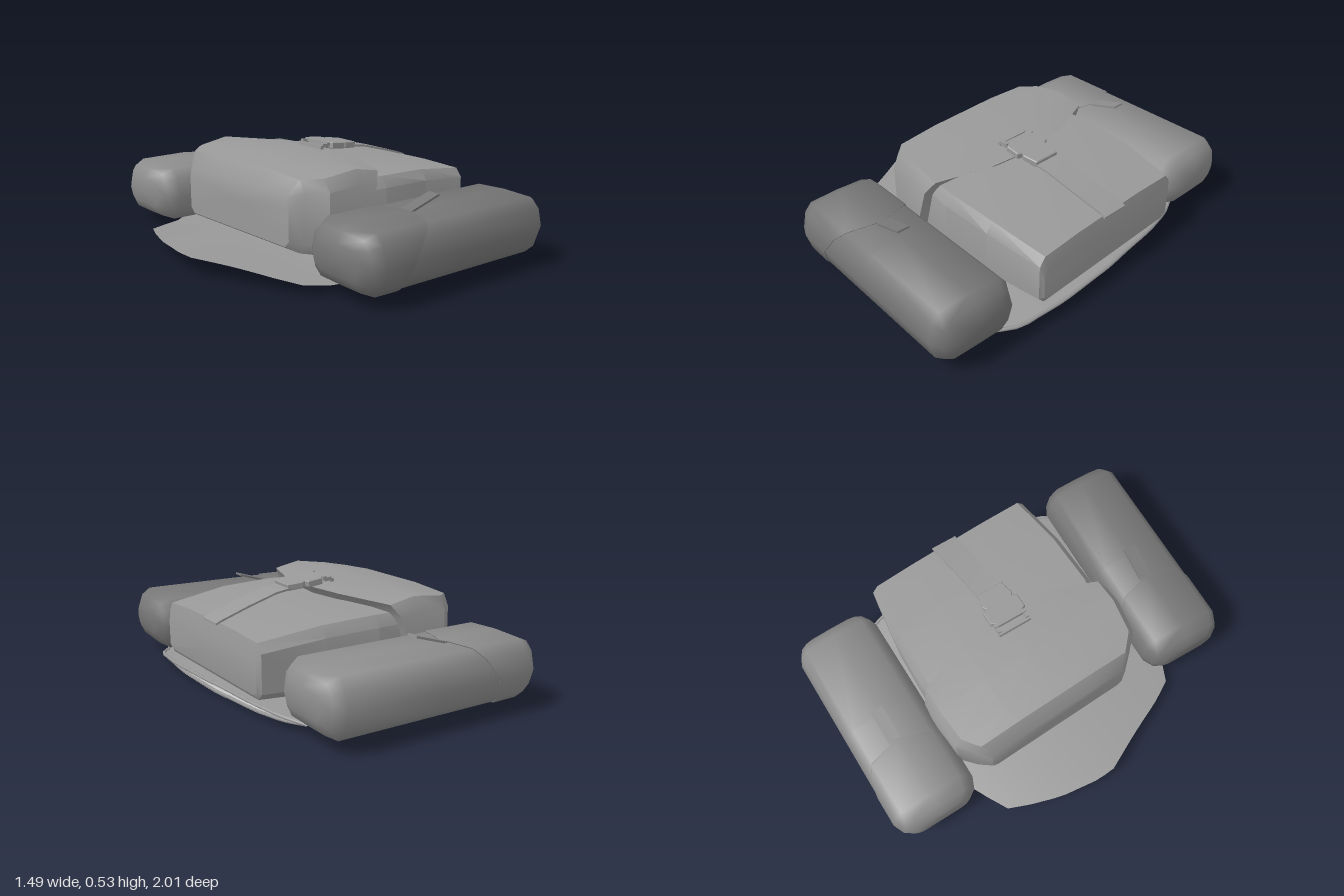
import * as THREE from 'three';
import { toCreasedNormals } from 'three/addons/utils/BufferGeometryUtils.js';

const paint = color => new THREE.MeshStandardMaterial({ color, side: THREE.DoubleSide });
const canvas = paint(0x999999);
const darkCanvas = paint(0x777777);
const rollCanvas = paint(0x8c8c8c);
const lining = paint(0xcccccc);

function mesh(name, geometry, material = canvas) {
  const m = new THREE.Mesh(geometry, material);
  m.name = name;
  return m;
}

// Closed skin through rings of [x, y, z] points, ordered along +x, capped at both ends.
function loft(rings, crease = 0.7) {
  const n = rings[0].length, pos = [];
  const tri = (...pts) => pts.forEach(p => pos.push(...p));
  for (let i = 0; i < rings.length - 1; i++) {
    for (let j = 0; j < n; j++) {
      const k = (j + 1) % n;
      const a = rings[i][j], b = rings[i][k], c = rings[i + 1][k], d = rings[i + 1][j];
      tri(a, b, c);
      tri(a, c, d);
    }
  }
  const first = rings[0], last = rings[rings.length - 1];
  const middle = r => [0, 1, 2].map(c => r.reduce((s, p) => s + p[c], 0) / n);
  const m0 = middle(first), m1 = middle(last);
  for (let j = 0; j < n; j++) {
    const k = (j + 1) % n;
    tri(m0, first[k], first[j]);
    tri(m1, last[j], last[k]);
  }
  const g = new THREE.BufferGeometry();
  g.setAttribute('position', new THREE.Float32BufferAttribute(pos, 3));
  return toCreasedNormals(g, crease);
}

// Thin sheet from a function (u, v) -> [x, y, z].
function sheet(f, nu, nv) {
  const pos = [], index = [];
  for (let i = 0; i <= nu; i++) for (let j = 0; j <= nv; j++) pos.push(...f(i / nu, j / nv));
  for (let i = 0; i < nu; i++) {
    for (let j = 0; j < nv; j++) {
      const a = i * (nv + 1) + j, b = a + nv + 1;
      index.push(a, a + 1, b, b, a + 1, b + 1);
    }
  }
  const g = new THREE.BufferGeometry();
  g.setAttribute('position', new THREE.Float32BufferAttribute(pos, 3));
  g.setIndex(index);
  g.computeVertexNormals();
  return g;
}

// Piecewise linear lookup in [key, value] pairs.
function lookup(table, t) {
  for (let i = 1; i < table.length; i++) {
    const [k0, v0] = table[i - 1], [k1, v1] = table[i];
    if (t <= k1) return v0 + (v1 - v0) * Math.max(0, (t - k0) / (k1 - k0));
  }
  return table[table.length - 1][1];
}

// Cross-section of the large bag: u across, v from bottom to top.
const bagSection = [[-0.93, 0], [-1, 0.12], [-1, 0.8], [-0.93, 0.96], [-0.45, 1], [0, 1],
  [0.45, 1], [0.93, 0.96], [1, 0.8], [1, 0.12], [0.93, 0]];
// Station [x, yBottom, yTop, zMin, zMax], slightly skewed; edge moves points along x.
const bagRing = ([x, y0, y1, z0, z1], edge = () => 0) => bagSection.map(([u, v]) => {
  const z = (z0 + z1) / 2 + u * (z1 - z0) / 2;
  return [x + 0.045 * z + edge(u, v), y0 + v * (y1 - y0), z];
});

function mainBag() {
  const g = new THREE.Group();
  g.name = 'mainBag';
  // body, sloping down towards its end
  g.add(mesh('bagBody', loft([
    [-0.32, 0.12, 0.42, -0.5, 0.44],
    [0.1, 0.1, 0.435, -0.54, 0.49],
    [0.38, 0.1, 0.425, -0.535, 0.48],
    [0.685, 0.11, 0.38, -0.5, 0.44],
    [0.7, 0.13, 0.3, -0.48, 0.42],
  ].map(s => bagRing(s)), 0.6)));
  // flap with a pointed front edge
  const edge = (u, v) => 0.17 - 0.15 * u * u - 0.12 * (1 - v);
  g.add(mesh('bagFlap', loft([
    bagRing([-0.4, 0.14, 0.38, -0.42, 0.38]),
    bagRing([-0.35, 0.11, 0.472, -0.48, 0.43]),
    bagRing([-0.27, 0.1, 0.483, -0.55, 0.51]),
    bagRing([-0.1, 0.1, 0.508, -0.57, 0.53]),
    bagRing([0, 0.1, 0.48, -0.57, 0.53], edge),
  ], 0.6)));
  return g;
}

function strapAndBuckle() {
  const g = new THREE.Group();
  g.name = 'strapAndBuckle';
  // strap running from the buckle over the end of the bag
  const path = [[0.2, 0.494, 0], [0.36, 0.475, -0.015], [0.52, 0.432, -0.03], [0.67, 0.388, -0.05], [0.7, 0.375, -0.05]];
  g.add(mesh('strap', loft(path.map(([x, y, z]) =>
    [[x, y - 0.005, z - 0.07], [x, y + 0.005, z - 0.07], [x, y + 0.005, z + 0.07], [x, y - 0.005, z + 0.07]]))));
  // buckle plate with notched waist, drawn in plan (x, z)
  const half = [[0.1, 0.06], [0.12, 0.095], [0.19, 0.095], [0.2, 0.07], [0.22, 0.08], [0.29, 0.065]];
  const outline = [...half, ...half.map(([x, z]) => [x, -z]).reverse()];
  const shape = new THREE.Shape(outline.map(([x, z]) => new THREE.Vector2(x - 0.17, z)));
  const plate = mesh('bucklePlate', new THREE.ExtrudeGeometry(shape, {
    depth: 0.025, bevelThickness: 0.004, bevelSize: 0.004, bevelSegments: 1 }));
  plate.rotation.x = Math.PI / 2;
  plate.position.y = 0.012;
  const buckle = new THREE.Group();
  buckle.name = 'buckle';
  buckle.add(plate);
  // loop bars at the end of the buckle: [x, y, z, width, depth]
  for (const [x, y, z, w, d] of [[-0.115, -0.012, 0, 0.018, 0.18], [-0.075, 0.006, 0, 0.018, 0.18],
    [-0.092, -0.002, 0.08, 0.04, 0.02], [-0.092, -0.002, -0.08, 0.04, 0.02]]) {
    const bar = mesh('buckleLoop', new THREE.BoxGeometry(w, 0.018, d));
    bar.position.set(x, y, z);
    buckle.add(bar);
  }
  buckle.position.set(0.17, 0.505, -0.005);
  buckle.rotation.z = -0.12;
  g.add(buckle);
  return g;
}

// Rolled side pouch, built around its own centre.
const pouchSection = [[-0.15, -0.14], [-0.195, -0.1], [-0.222, -0.01], [-0.2, 0.09], [-0.16, 0.135],
  [0, 0.142], [0.16, 0.135], [0.2, 0.09], [0.222, -0.01], [0.195, -0.1], [0.15, -0.14], [0, -0.142]];
const pouchRing = (x, inset, grow = 0, shift = () => 0) => pouchSection.map(([z, y]) =>
  [x + shift(z, y), y * (1 + (grow - inset) / 0.14), z * (1 + (grow - inset) / 0.22)]);

function sidePouch(name, material) {
  const g = new THREE.Group();
  g.name = name;
  g.add(mesh('pouchBody', loft([[-0.55, 0.07], [-0.52, 0.025], [-0.47, 0], [0, 0], [0.49, 0], [0.54, 0.028], [0.57, 0.08]]
    .map(([x, i]) => pouchRing(x, i)), 1.2), material));
  // flap wrapped over one end, rounded along its edge
  const edge = (z, y) => -1.6 * z * z - 0.55 * (0.142 - y);
  g.add(mesh('pouchFlap', loft([
    pouchRing(-0.572, 0.07), pouchRing(-0.54, 0.022), pouchRing(-0.48, 0, 0.004),
    pouchRing(-0.16, 0, 0.005, edge), pouchRing(-0.15, 0, 0.004, edge),
  ], 1.2), material));
  // small pull tab
  const tab = mesh('pullTab', new THREE.BoxGeometry(0.18, 0.01, 0.065), material);
  tab.position.set(-0.07, 0.166, -0.01);
  tab.rotation.z = 0.3;
  g.add(tab);
  return g;
}

function basePanel() {
  const g = new THREE.Group();
  g.name = 'basePanel';
  const left = [[-0.69, -0.3], [-0.56, -0.43], [-0.48, -0.62], [-0.36, -0.67], [-0.2, -0.72], [0, -0.745],
    [0.1, -0.74], [0.3, -0.64], [0.5, -0.55], [0.62, -0.48], [0.67, -0.36]];
  const right = [[-0.69, 0.56], [-0.6, 0.61], [-0.4, 0.67], [0, 0.73], [0.3, 0.745], [0.55, 0.72], [0.67, 0.64]];
  const zAt = v => -0.69 + 1.36 * v;
  const bow = v => (2 * v - 1) ** 2;
  // upper sheet with a rounded tongue
  g.add(mesh('upperSheet', sheet((u, v) => {
    const z = zAt(v), x0 = lookup(left, z), x1 = lookup(right, z);
    const x = x0 + (x1 - x0) * u;
    const lift = 0.02 * Math.max(0, (-0.3 - x) / 0.44);
    return [x, 0.085 - 0.037 * bow(v) + lift - (x < -0.2 ? 0.008 : 0), z];
  }, 16, 24)));
  // lower sheet, sagging away to leave an open sleeve and curling up at its end
  const curl = x => 0.1 * Math.max(0, x - 0.6);
  g.add(mesh('lowerSheet', sheet((u, v) => {
    const z = zAt(v), x0 = -0.2 - 0.1 * bow(v);
    const x = x0 + (lookup(right, z) - 0.05 * (1 - bow(v)) - x0) * u;
    return [x, 0.004 + 0.044 * bow(v) + curl(x), z];
  }, 12, 24), lining));
  // thickened hems around the sleeve opening
  const hem = (name, y, bend, inset, rise) => {
    const pts = [];
    for (let i = 0; i <= 12; i++) {
      const v = i / 12, z = zAt(v), x = lookup(right, z) - inset * (1 - bow(v)) - 0.008;
      pts.push(new THREE.Vector3(x, y + bend * bow(v) + rise(x), z));
    }
    g.add(mesh(name, new THREE.TubeGeometry(new THREE.CatmullRomCurve3(pts), 24, 0.009, 6)));
  };
  hem('upperHem', 0.085, -0.037, 0, () => 0);
  hem('lowerHem', 0.01, 0.038, 0.05, curl);
  return g;
}

export function createModel() {
  const model = new THREE.Group();
  model.name = 'packWithSidePouches';
  const front = sidePouch('frontPouch', darkCanvas);
  front.position.set(0.145, 0.2, 0.77);
  front.rotation.y = -0.02;
  const back = sidePouch('backPouch', rollCanvas);
  back.position.set(0.06, 0.2, -0.775);
  back.rotation.y = 0.02;
  model.add(mainBag(), strapAndBuckle(), front, back, basePanel());
  return model;
}
